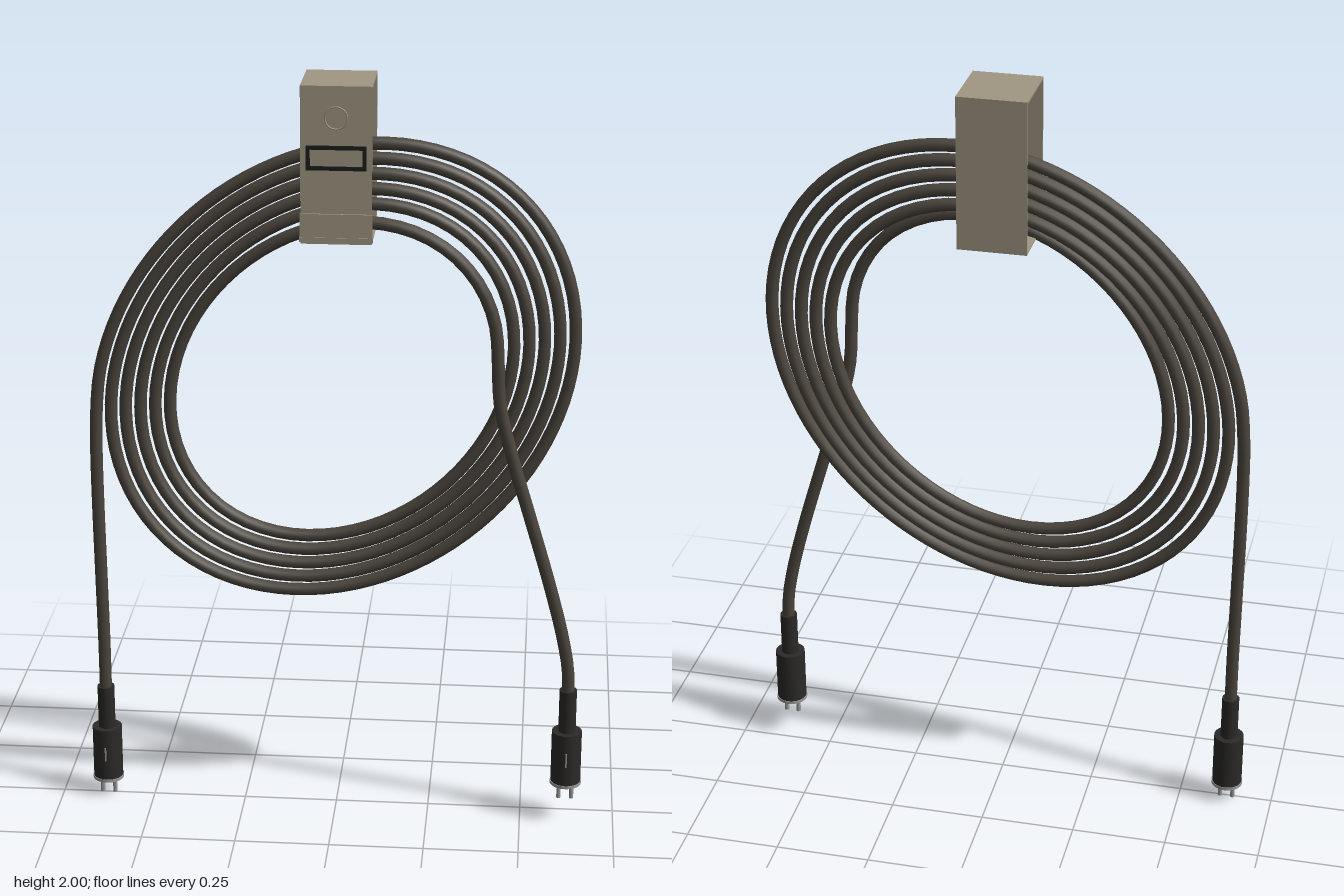
import * as THREE from 'three';

const mat = (color, side = THREE.FrontSide) => new THREE.MeshStandardMaterial({ color, side });

function add(parent, name, geometry, material, x = 0, y = 0, z = 0) {
  const mesh = new THREE.Mesh(geometry, material);
  mesh.name = name;
  mesh.position.set(x, y, z);
  parent.add(mesh);
  return mesh;
}

const CABLE_RADIUS = 0.0165;

// One continuous path: hanging lead, tilted oval spiral, front lead
function cablePath() {
  const pts = [[-0.627, 0.28], [-0.627, 0.45], [-0.629, 0.65], [-0.631, 0.85], [-0.631, 1.0]]
    .map(([x, y]) => new THREE.Vector3(x, y, -0.003));
  const perTurn = 32, turns = 5.5, start = THREE.MathUtils.degToRad(140.6);
  for (let i = 0; i <= perTurn * turns; i++) {
    const t = i / perTurn;
    const a = start - t * Math.PI * 2;
    const last = Math.max(0, (t - 5) / 0.5);
    const s = 0.63 - 0.039 * t;
    const u = s * 1.09 * Math.cos(a), v = s * 0.896 * Math.sin(a);
    const lift = last > 0 ? (1 - Math.cos(last * Math.PI)) / 2 * 0.06 : 0;
    pts.push(new THREE.Vector3((u - v) * Math.SQRT1_2, 1.22 + (u + v) * Math.SQRT1_2, -0.006 + lift));
  }
  [[0.422, 1.18, 0.053], [0.455, 1.04, 0.051], [0.5, 0.89, 0.05], [0.565, 0.67, 0.048],
    [0.603, 0.52, 0.047], [0.618, 0.43, 0.046], [0.62, 0.34, 0.046]]
    .forEach((p) => pts.push(new THREE.Vector3(...p)));
  const curve = new THREE.CatmullRomCurve3(pts);
  curve.arcLengthDivisions = 2000;
  return curve;
}

function rectangle(w, h, Type = THREE.Shape) {
  const s = new Type();
  s.moveTo(-w / 2, -h / 2);
  s.lineTo(w / 2, -h / 2);
  s.lineTo(w / 2, h / 2);
  s.lineTo(-w / 2, h / 2);
  s.closePath();
  return s;
}

// Strap hanger: a thin rectangular band, open at both sides
function createHanger() {
  const g = new THREE.Group();
  g.name = 'hanger';
  const tan = mat(0xa09882), dark = mat(0x1c1c1c);
  const cx = 0.006, w = 0.178, t = 0.005, h = 0.4, front = 0.086, back = -0.095;
  const depth = front - back, cz = (front + back) / 2;

  const plate = rectangle(w, h);
  const hole = new THREE.Path();
  hole.absarc(0, 0.12, 0.027, 0, Math.PI * 2, true);
  plate.holes.push(hole);
  add(g, 'frontPlate', new THREE.ExtrudeGeometry(plate, { depth: t, bevelEnabled: false, curveSegments: 24 }),
    tan, cx, 1.8, front - t);
  add(g, 'backPlate', new THREE.BoxGeometry(w, h, t), tan, cx, 1.8, back + t / 2);
  for (const [name, y] of [['topPlate', 2 - t / 2], ['bottomPlate', 1.6 + t / 2]]) {
    add(g, name, new THREE.BoxGeometry(w, t, depth - 2 * t), tan, cx, y, cz);
  }
  add(g, 'overlapFlap', new THREE.BoxGeometry(w + 0.004, 0.068, 0.005), tan, cx, 1.644, front + 0.0025);
  add(g, 'flapFold', new THREE.BoxGeometry(w + 0.006, 0.012, 0.007), tan, cx, 1.612, front + 0.0035);
  add(g, 'hangingEyelet', new THREE.TorusGeometry(0.028, 0.002, 6, 24), tan, cx, 1.92, front);

  // Label holder
  const frame = rectangle(0.15, 0.062);
  frame.holes.push(rectangle(0.13, 0.042, THREE.Path));
  add(g, 'labelFrame', new THREE.ExtrudeGeometry(frame, { depth: 0.004, bevelEnabled: false }),
    dark, cx, 1.82, front);
  return g;
}

// Plug with its base at y = 0 and the cable leaving upward
function createPlug(name, x, y, z) {
  const g = new THREE.Group();
  g.name = name;
  const rubber = mat(0x2b2a28), metal = mat(0x9a9a9a);
  const cyl = (r, h) => new THREE.CylinderGeometry(r, r, h, 20);
  add(g, 'strainRelief', cyl(0.023, 0.125), rubber, 0, 0.2575, 0);
  add(g, 'plugBody', cyl(0.04, 0.147), rubber, 0, 0.1265, 0);
  add(g, 'plugFace', cyl(0.042, 0.008), metal, 0, 0.05, 0);
  add(g, 'gripMark', new THREE.BoxGeometry(0.004, 0.04, 0.004), metal, 0, 0.13, 0.0395);
  for (const side of [-1, 1]) {
    add(g, 'prong', new THREE.CylinderGeometry(0.006, 0.006, 0.048, 10), metal, side * 0.017, 0.024, 0);
  }
  g.position.set(x, y, z);
  return g;
}

export function createModel() {
  const model = new THREE.Group();
  model.name = 'coiledCable';
  add(model, 'cable', new THREE.TubeGeometry(cablePath(), 480, CABLE_RADIUS, 10, false), mat(0x4c453d));
  model.add(createHanger());
  model.add(createPlug('rightPlug', -0.627, 0, -0.003));
  model.add(createPlug('leftPlug', 0.62, 0.06, 0.046));
  return model;
}
